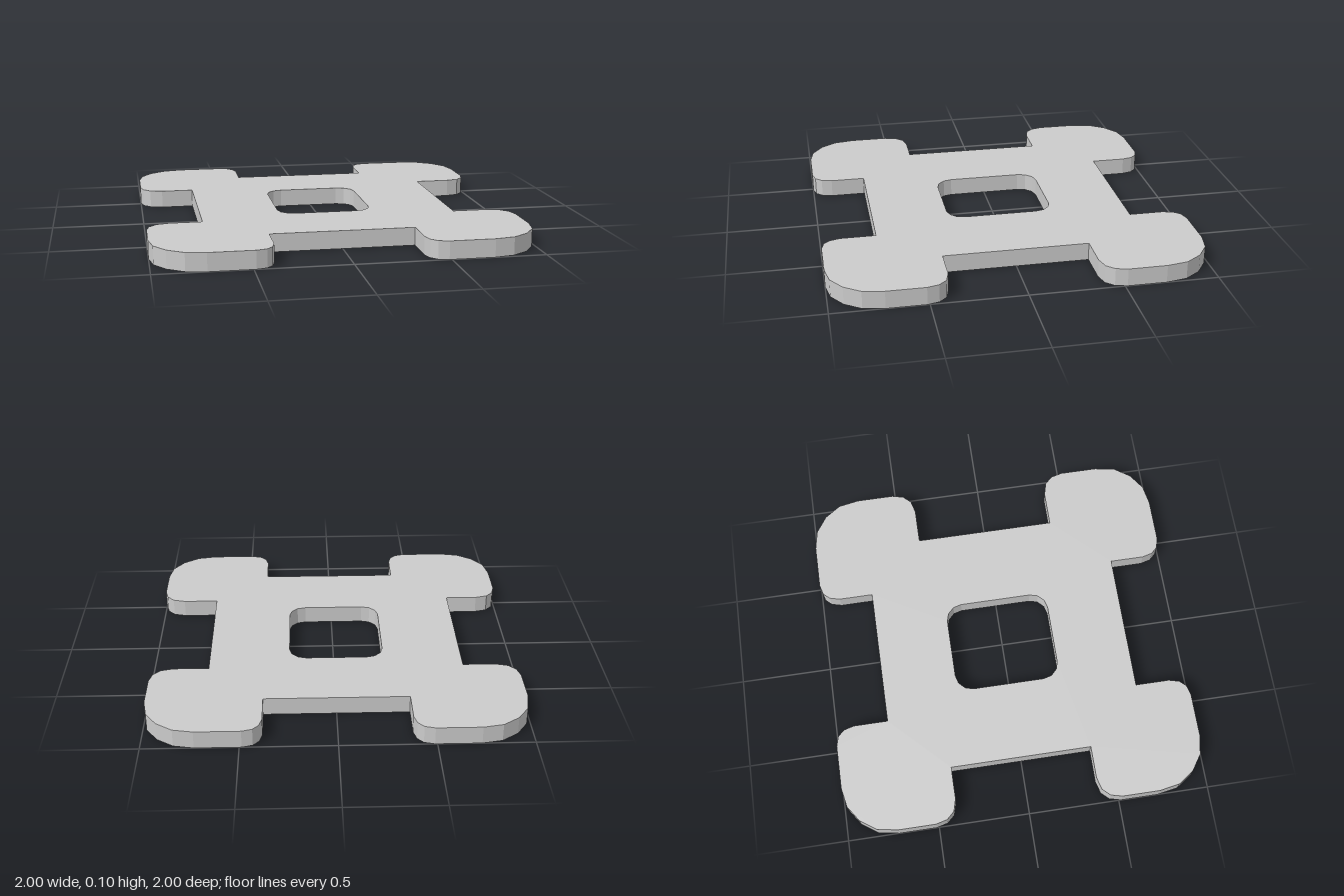
import * as THREE from 'three';

const HEIGHT = 0.097;

// One rounded corner lobe, from the front/back edge round to the side edge (+x, +z quadrant)
const LOBE = [
  [0.385, 0.705], [0.385, 0.893], [0.4, 0.95], [0.432, 0.985], [0.487, 1],
  [0.727, 1], [0.833, 0.98], [0.92, 0.92], [0.98, 0.833], [1, 0.72],
  [1, 0.513], [0.984, 0.45], [0.945, 0.408], [0.877, 0.39],
];

function lobe(sx, sz) {
  const bodyEdge = sx > 0 ? 0.685 : 0.7;
  const pts = [...LOBE, [bodyEdge, 0.39]].map(([x, z]) => new THREE.Vector2(sx * x, -sz * z));
  return sx * sz > 0 ? pts : pts.reverse();
}

// Rectangular opening with faceted rounded corners
function opening(x0, x1, y0, y1, r, steps) {
  const pts = [];
  const centres = [[x1 - r, y1 - r], [x0 + r, y1 - r], [x0 + r, y0 + r], [x1 - r, y0 + r]];
  centres.forEach(([cx, cy], i) => {
    for (let s = 0; s <= steps; s++) {
      const a = (i + s / steps) * Math.PI / 2;
      pts.push(new THREE.Vector2(cx + r * Math.cos(a), cy + r * Math.sin(a)));
    }
  });
  return new THREE.Path(pts);
}

export function createModel() {
  const group = new THREE.Group();
  group.name = 'lobedPlate';

  // Plate outline: four mirrored lobes joined by straight edges
  const outline = new THREE.Shape([...lobe(1, 1), ...lobe(1, -1), ...lobe(-1, -1), ...lobe(-1, 1)]);
  outline.holes.push(opening(-0.27, 0.246, -0.289, 0.295, 0.092, 3));

  const geometry = new THREE.ExtrudeGeometry(outline, { depth: HEIGHT, bevelEnabled: false });
  geometry.rotateX(-Math.PI / 2);

  const plate = new THREE.Mesh(
    geometry,
    new THREE.MeshStandardMaterial({ color: 0xcccccc, flatShading: true })
  );
  plate.name = 'plate';
  group.add(plate);
  return group;
}
